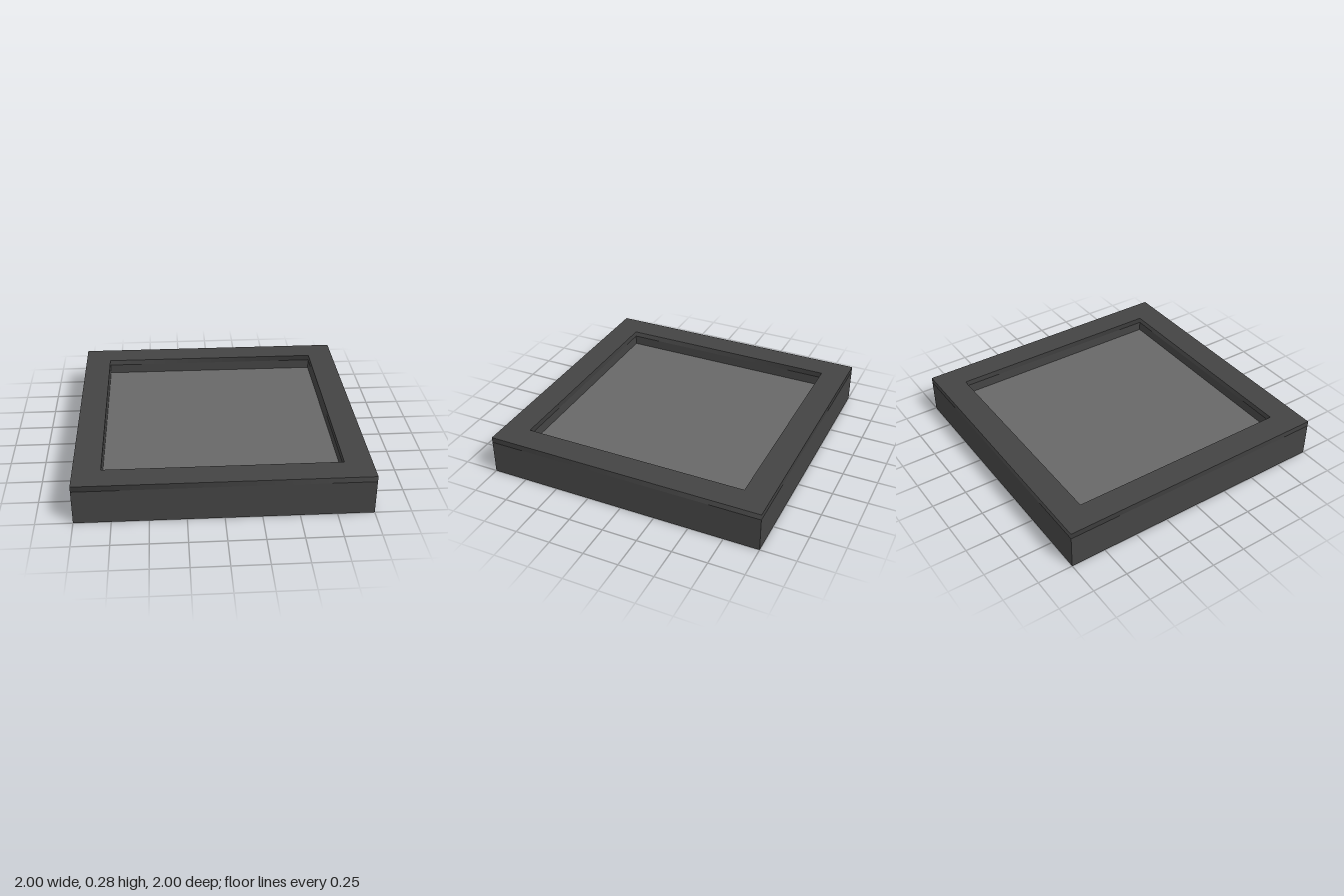
import * as THREE from 'three';

const OUTER = 1, INNER = 0.81;
const FLOOR = 0.175, SEAM = 0.245, TOP = 0.285;

const mat = (color, options = {}) => new THREE.MeshStandardMaterial({ color, ...options });

// Four-sided open band, reaching +-half in x and z, between two heights
function squareBand(name, half, y0, y1, material) {
  const r = half * Math.SQRT2;
  const geometry = new THREE.CylinderGeometry(r, r, y1 - y0, 4, 1, true, Math.PI / 4);
  geometry.translate(0, (y0 + y1) / 2, 0);
  const mesh = new THREE.Mesh(geometry, material);
  mesh.name = name;
  return mesh;
}

// Level sheet facing up (or down)
function sheet(name, geometry, y, material, facing = 1) {
  geometry.rotateX(-facing * Math.PI / 2).translate(0, y, 0);
  const mesh = new THREE.Mesh(geometry, material);
  mesh.name = name;
  return mesh;
}

export function createModel() {
  const group = new THREE.Group();
  group.name = 'squareTray';

  const dark = 0x444444;
  const flat = mat(dark, { flatShading: true });
  const flatInside = mat(dark, { flatShading: true, side: THREE.BackSide });
  const smooth = mat(dark);
  const smoothInside = mat(dark, { side: THREE.BackSide });

  // Body of the tray
  group.add(squareBand('outerWall', OUTER, 0, SEAM, flat));
  group.add(squareBand('innerWall', INNER, FLOOR, SEAM, flatInside));
  group.add(sheet('underside', new THREE.PlaneGeometry(2 * OUTER, 2 * OUTER), 0, flat, -1));

  // Rim: softly shaded sides and a flat square top
  group.add(squareBand('rimOuterSide', OUTER, SEAM, TOP, smooth));
  group.add(squareBand('rimInnerSide', INNER, SEAM, TOP, smoothInside));
  const ring = new THREE.RingGeometry(INNER * Math.SQRT2, OUTER * Math.SQRT2, 4, 1, Math.PI / 4);
  group.add(sheet('rimTop', ring, TOP, flat));

  // Lighter recessed panel
  group.add(sheet('recessedPanel', new THREE.PlaneGeometry(2 * INNER, 2 * INNER), FLOOR, mat(0x686868)));

  return group;
}
